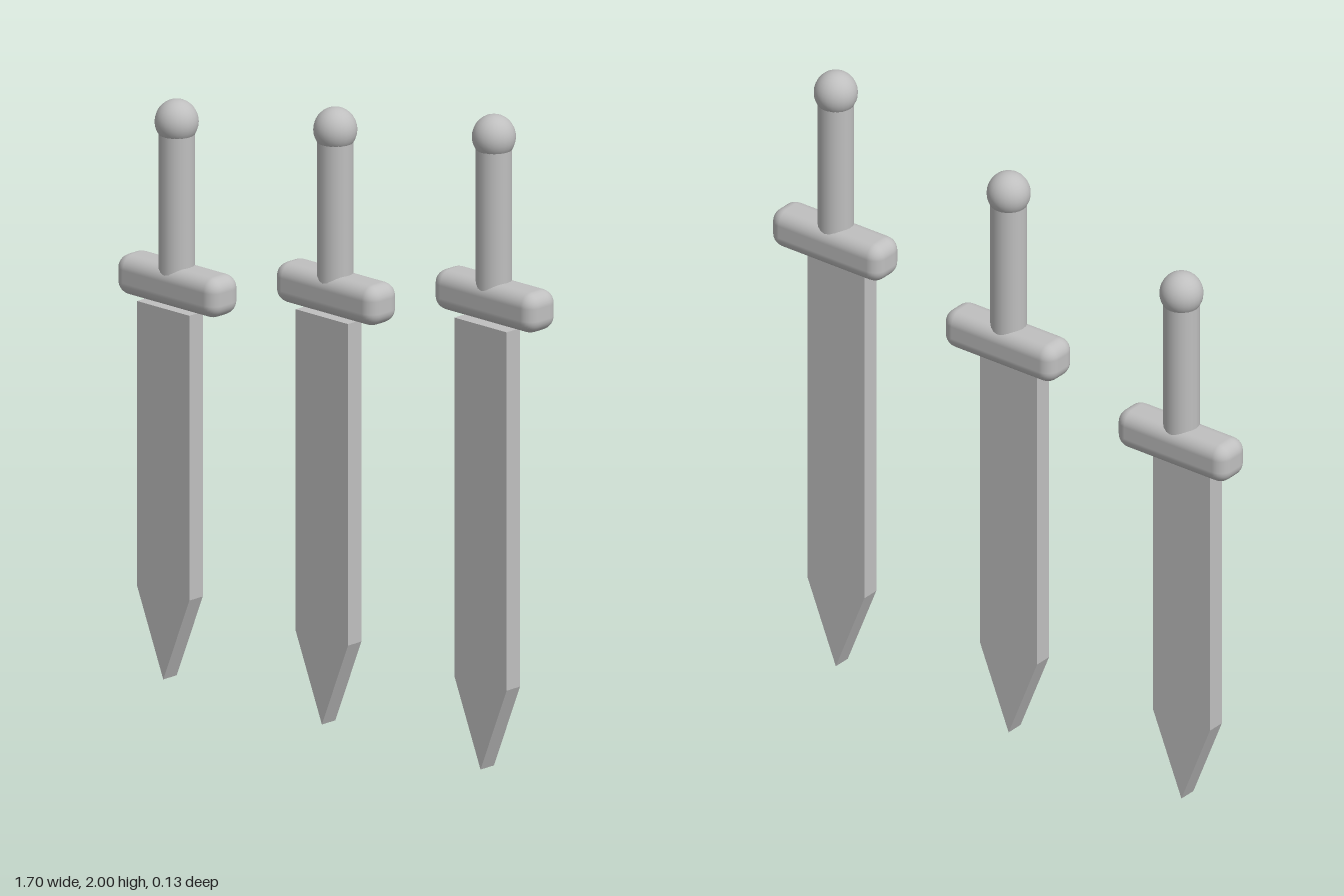
import * as THREE from 'three';
import { RoundedBoxGeometry } from 'three/addons/geometries/RoundedBoxGeometry.js';

const steel = new THREE.MeshStandardMaterial({ color: 0xbfbfbf });
steel.name = 'grey steel';

function addPart(parent, name, geometry, x, y, z) {
  const mesh = new THREE.Mesh(geometry, steel);
  mesh.name = name;
  mesh.position.set(x, y, z);
  parent.add(mesh);
  return mesh;
}

// One point-down sword; its length depends on where the guard sits
function createSword(bladeTop, guardY) {
  const sword = new THREE.Group();

  // Flat blade with a pointed tip, only on the front half of the guard
  const outline = new THREE.Shape([
    new THREE.Vector2(0, 0),
    new THREE.Vector2(0.106, 0.265),
    new THREE.Vector2(0.106, bladeTop),
    new THREE.Vector2(-0.106, bladeTop),
    new THREE.Vector2(-0.106, 0.265),
  ]);
  const blade = new THREE.ExtrudeGeometry(outline, { depth: 0.057, bevelEnabled: false });
  addPart(sword, 'blade', blade, 0, 0, 0);

  // Soft-edged crossguard
  addPart(sword, 'guard', new RoundedBoxGeometry(0.41, 0.123, 0.122, 4, 0.042), 0, guardY, -0.003);

  // Round grip, sunk into the guard and the pommel
  addPart(sword, 'grip', new THREE.CylinderGeometry(0.054, 0.054, 0.47, 20), 0, guardY + 0.235, 0);

  // Ball pommel
  const pommel = addPart(sword, 'pommel', new THREE.SphereGeometry(0.065, 24, 16), 0, guardY + 0.5, 0);
  pommel.scale.y = 1.04;
  return sword;
}

export function createModel() {
  const model = new THREE.Group();
  model.name = 'swords';

  // Three swords in a row, each longer than the last
  const swords = [
    ['shortSword', -0.643, 1.14, 1.202],
    ['middleSword', 0, 1.253, 1.316],
    ['longSword', 0.643, 1.366, 1.432],
  ];
  for (const [name, x, bladeTop, guardY] of swords) {
    const sword = createSword(bladeTop, guardY);
    sword.name = name;
    sword.position.x = x;
    model.add(sword);
  }
  return model;
}
